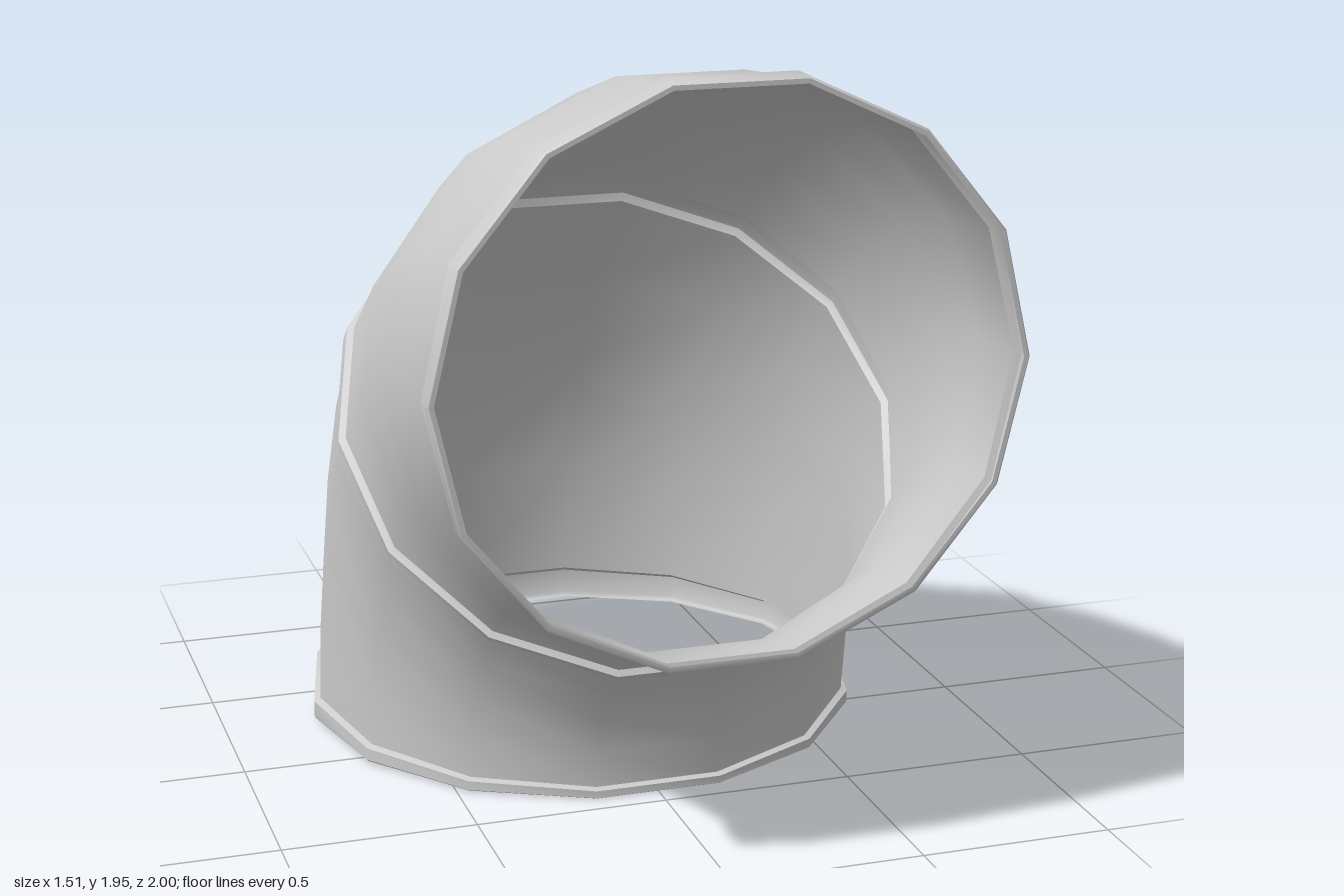
import * as THREE from 'three';
import { toCreasedNormals } from 'three/addons/utils/BufferGeometryUtils.js';

const SIDES = 14;
const PIVOT = { y: -0.004, z: 1 }; // centre of the bend, seen from the side
const FLAT = Math.cos(Math.PI / SIDES); // flats face the inside and outside of the bend

// One cross-section ring at a bend angle; the pipe widens slightly along the bend
function ring(deg, offset) {
  const s = deg / 90, ease = 1 - (1 - s) ** 2;
  const outer = 1.937 + 0.044 * ease, inner = 0.58 - 0.006 * s;
  const centre = (outer + inner) / 2;
  const ry = (outer - inner) / 2 / FLAT + offset;
  const rx = 0.715 + 0.024 * Math.min(1, s * 2) + offset;
  const t = THREE.MathUtils.degToRad(deg), points = [];
  for (let j = 0; j < SIDES; j++) {
    const p = ((j + 0.5) / SIDES) * Math.PI * 2;
    const r = centre + ry * Math.cos(p);
    points.push(rx * Math.sin(p), PIVOT.y + r * Math.cos(t), PIVOT.z - r * Math.sin(t));
  }
  return points;
}

// Skin a list of [bend angle, radial offset] sections
function loft(name, sections, material) {
  const index = [];
  for (let i = 0; i < sections.length - 1; i++) {
    for (let j = 0; j < SIDES; j++) {
      const k = (j + 1) % SIDES;
      const a = i * SIDES + j, b = i * SIDES + k, c = a + SIDES, d = b + SIDES;
      index.push(a, b, c, b, d, c);
    }
  }
  const geometry = new THREE.BufferGeometry();
  const positions = sections.flatMap(([deg, offset]) => ring(deg, offset));
  geometry.setAttribute('position', new THREE.Float32BufferAttribute(positions, 3));
  geometry.setIndex(index);
  const mesh = new THREE.Mesh(toCreasedNormals(geometry, 0.65), material);
  mesh.name = name;
  return mesh;
}

// Plain pipe wall between two bend angles
function wall(from, to, steps = 4) {
  return Array.from({ length: steps + 1 }, (_, i) => [from + ((to - from) * i) / steps, 0]);
}

export function createModel() {
  const group = new THREE.Group();
  group.name = 'pipeElbow';
  const material = new THREE.MeshStandardMaterial({ color: 0xcccccc, side: THREE.DoubleSide });
  const lip = 0.017;

  // Two curved halves of the pipe
  group.add(loft('upperPipe', wall(2.7, 42.1), material));
  group.add(loft('lowerPipe', wall(45.4, 86.4), material));

  // Raised collars at the front opening, the middle joint and the bottom opening
  group.add(loft('frontCollar', [[0, 0], [0, lip * 0.7], [0.3, lip], [2.3, lip], [2.7, 0]], material));
  group.add(loft('middleCollar', [[42.1, 0], [42.6, lip], [44.9, lip], [45.4, 0]], material));
  group.add(loft('bottomCollar', [[86.4, 0], [86.8, lip], [88.8, lip], [89.1, lip * 0.7], [89.1, 0]], material));
  return group;
}
